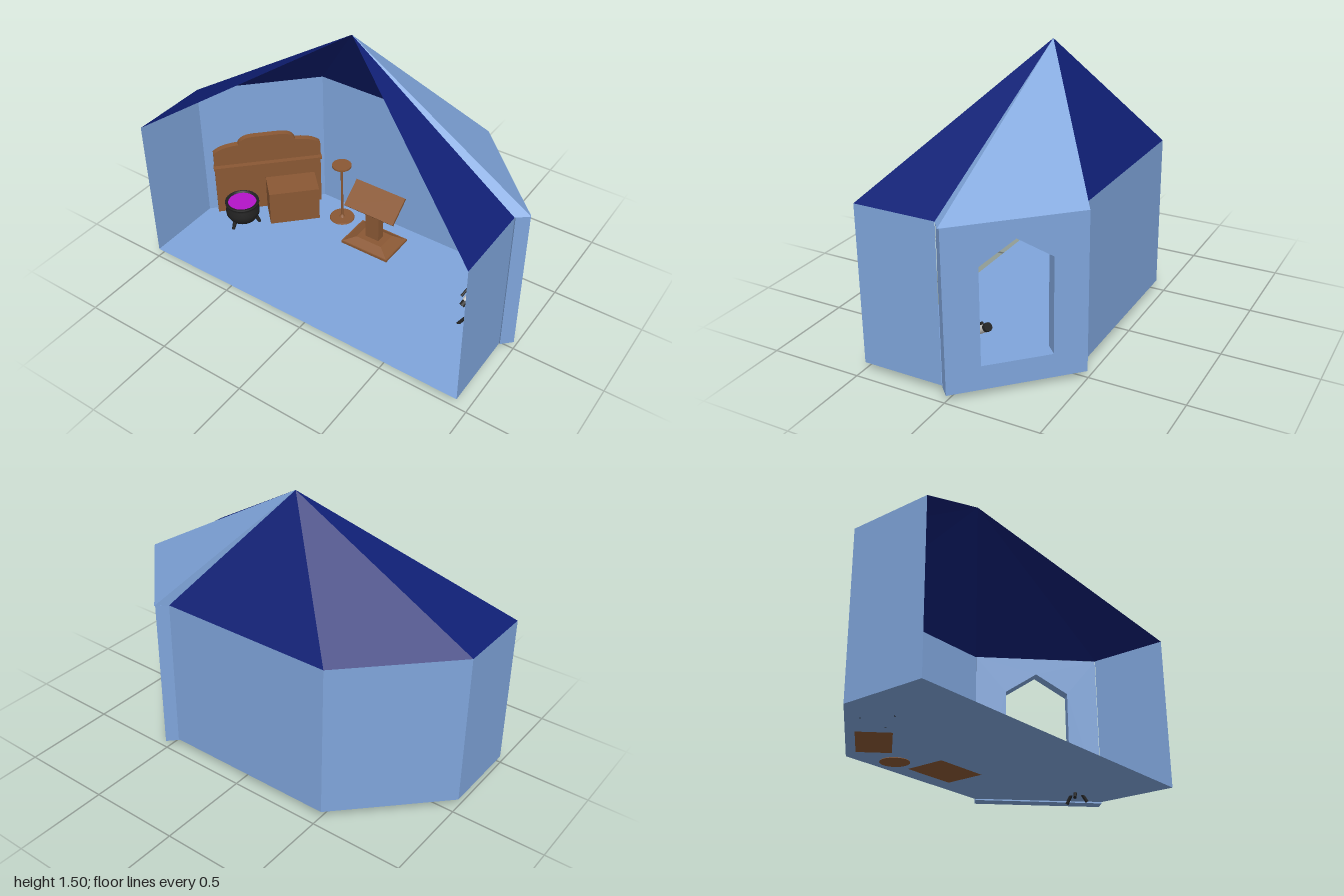
import * as THREE from 'three';

const mat = (color, opts = {}) => new THREE.MeshStandardMaterial({ color, ...opts });
const V = (x, y, z) => new THREE.Vector3(x, y, z);

export function createModel() {
  const root = new THREE.Group();
  const blue = mat(0x7fa5db, { side: THREE.DoubleSide });
  const navy = mat(0x0f1f74, { side: THREE.DoubleSide });
  const wood = mat(0x8a5834);
  const black = mat(0x222222);
  const grey = mat(0xcccccc);
  const purple = mat(0xb414c8);

  const add = (parent, name, geo, material, x = 0, y = 0, z = 0) => {
    const m = new THREE.Mesh(geo, material);
    m.name = name;
    m.position.set(x, y, z);
    parent.add(m);
    return m;
  };
  const group = (name, x = 0, y = 0, z = 0, turn = 0) => {
    const g = new THREE.Group();
    g.name = name;
    g.position.set(x, y, z);
    g.rotation.y = turn;
    root.add(g);
    return g;
  };
  // Flat convex panel from its corners
  const panel = (parent, name, pts, material) => {
    const tris = [];
    for (let i = 1; i < pts.length - 1; i++) tris.push(pts[0], pts[i], pts[i + 1]);
    const g = new THREE.BufferGeometry().setFromPoints(tris);
    g.computeVertexNormals();
    return add(parent, name, g, material);
  };
  // Round rod between two points
  const rod = (parent, name, a, b, r, material, r2 = r) => {
    const m = add(parent, name, new THREE.CylinderGeometry(r2, r, a.distanceTo(b), 16), material);
    m.position.copy(a).add(b).multiplyScalar(0.5);
    m.quaternion.setFromUnitVectors(V(0, 1, 0), b.clone().sub(a).normalize());
    return m;
  };

  // Room: thin walls, floor and roof, open at the front
  const plan = [[-1, 0.49], [-1, 0.05], [-0.51, -0.45], [0.455, -0.45], [0.94, 0.05], [0.94, 0.49]];
  const base = 0.045, eave = 0.885, apex = V(-0.03, 1.5, -0.037);
  const room = group('room');
  panel(room, 'floor', plan.map(([x, z]) => V(x, base, z)), blue);
  for (let i = 0; i < 5; i++) {
    const [ax, az] = plan[i], [bx, bz] = plan[i + 1];
    if (i !== 3) panel(room, 'wall', [V(ax, base, az), V(bx, base, bz), V(bx, eave, bz), V(ax, eave, az)], blue);
    panel(room, 'roofPanel', [V(ax, eave, az), V(bx, eave, bz), apex], navy);
  }

  // Thick corner wall with a pointed window
  const bay = group('windowWall', 0.6975, 0, -0.2, Math.PI * 0.75);
  const wall = new THREE.Shape([[-0.347, 0.038], [0.347, 0.038], [0.347, eave], [-0.347, eave]].map(p => new THREE.Vector2(...p)));
  wall.holes.push(new THREE.Path([[-0.177, 0.165], [-0.177, 0.675], [0, 0.79], [0.177, 0.675], [0.177, 0.165]].map(p => new THREE.Vector2(...p))));
  add(bay, 'windowPanel', new THREE.ExtrudeGeometry(wall, { depth: 0.075, bevelEnabled: false }), blue);

  // Pale roof covering over the window wall
  const cover = [[0.455, -0.45], [0.51, -0.5], [1, 0], [0.94, 0.05]].map(([x, z]) => V(x, eave, z));
  for (let i = 0; i < 3; i++) panel(room, 'windowRoof', [cover[i], cover[i + 1], apex], blue);

  // Dresser against the left corner wall
  const dresser = group('dresser', -0.745, base, -0.205, Math.PI / 4);
  const s = new THREE.Shape();
  s.moveTo(-0.31, 0);
  s.lineTo(0.31, 0);
  s.lineTo(0.31, 0.42);
  s.quadraticCurveTo(0.27, 0.462, 0.165, 0.467);
  s.quadraticCurveTo(0.15, 0.514, 0.07, 0.514);
  s.lineTo(-0.07, 0.514);
  s.quadraticCurveTo(-0.15, 0.514, -0.165, 0.467);
  s.quadraticCurveTo(-0.27, 0.462, -0.31, 0.42);
  add(dresser, 'backBoard', new THREE.ExtrudeGeometry(s, { depth: 0.036, bevelEnabled: false }), wood, 0, 0, 0.004);
  add(dresser, 'ledge', new THREE.BoxGeometry(0.63, 0.013, 0.05), wood, 0, 0.33, 0.044);
  add(dresser, 'chest', new THREE.BoxGeometry(0.29, 0.215, 0.17), wood, 0.126, 0.1075, 0.125);

  // Cauldron
  const pot = group('cauldron', -0.76, 0, 0.025);
  const profile = [[0, 0.057], [0.045, 0.062], [0.078, 0.083], [0.096, 0.115], [0.098, 0.14], [0.09, 0.17],
    [0.088, 0.182], [0.099, 0.19], [0.099, 0.197], [0.083, 0.197], [0.08, 0.175]];
  const iron = mat(0x222222, { side: THREE.DoubleSide });
  add(pot, 'bowl', new THREE.LatheGeometry(profile.map(p => new THREE.Vector2(...p)), 40), iron);
  add(pot, 'potion', new THREE.CylinderGeometry(0.084, 0.084, 0.006, 40), purple, 0, 0.187, 0);
  for (let i = 0; i < 3; i++) {
    const a = Math.PI / 2 + i * Math.PI * 2 / 3, c = Math.cos(a), d = Math.sin(a);
    rod(pot, 'foot', V(0.095 * c, 0.047, 0.095 * d), V(0.07 * c, 0.1, 0.07 * d), 0.009, black, 0.014);
  }

  // Slim round stand
  const stand = group('stand', -0.3, 0, -0.33);
  add(stand, 'standBase', new THREE.CylinderGeometry(0.07, 0.075, 0.01, 32), wood, 0, 0.047, 0);
  add(stand, 'standPole', new THREE.CylinderGeometry(0.007, 0.007, 0.375, 16), wood, 0, 0.235, 0);
  add(stand, 'standCollar', new THREE.CylinderGeometry(0.007, 0.018, 0.015, 16), wood, 0, 0.059, 0);
  add(stand, 'standTop', new THREE.CylinderGeometry(0.056, 0.056, 0.01, 32), wood, 0, 0.426, 0);

  // Reading desk with a stepped base and sloping top
  const desk = group('lectern', -0.022, 0, -0.25);
  add(desk, 'deskFoot', new THREE.BoxGeometry(0.305, 0.014, 0.22), wood, 0, 0.052, 0);
  const slope = new THREE.CylinderGeometry(0.56 * Math.SQRT1_2, Math.SQRT1_2, 0.03, 4, 1).rotateY(Math.PI / 4).scale(0.295, 1, 0.21).toNonIndexed();
  slope.computeVertexNormals();
  add(desk, 'deskFootSlope', slope, wood, 0, 0.073, 0);
  add(desk, 'deskPost', new THREE.BoxGeometry(0.087, 0.24, 0.05), wood, 0, 0.2, 0);
  add(desk, 'deskTop', new THREE.BoxGeometry(0.322, 0.015, 0.165), wood, 0, 0.337, 0).rotation.x = 0.69;

  // Telescope on a tripod, aimed out of the window
  const scope = group('telescope');
  const hub = V(0.735, 0.1, 0.02);
  for (const [x, z] of [[0.675, 0.052], [0.79, 0.052], [0.735, -0.042]])
    rod(scope, 'tripodLeg', V(x, z < 0 ? 0.004 : 0.012, z), hub, 0.009, black);
  rod(scope, 'tripodPost', V(0.735, 0.09, 0.02), V(0.737, 0.245, 0.0), 0.007, grey);
  const low = V(0.716, 0.2, 0.05), high = V(0.772, 0.315, -0.11);
  const along = t => low.clone().lerp(high, t);
  rod(scope, 'tube', along(0.1), along(0.92), 0.02, grey);
  rod(scope, 'eyepiece', along(-0.04), along(0.15), 0.016, black);
  rod(scope, 'lensHood', along(0.9), along(1), 0.022, black);
  const side = V(-0.026, 0.022, 0.004);
  rod(scope, 'finder', along(0.12).add(side), along(0.65).add(side), 0.007, black);
  return root;
}
